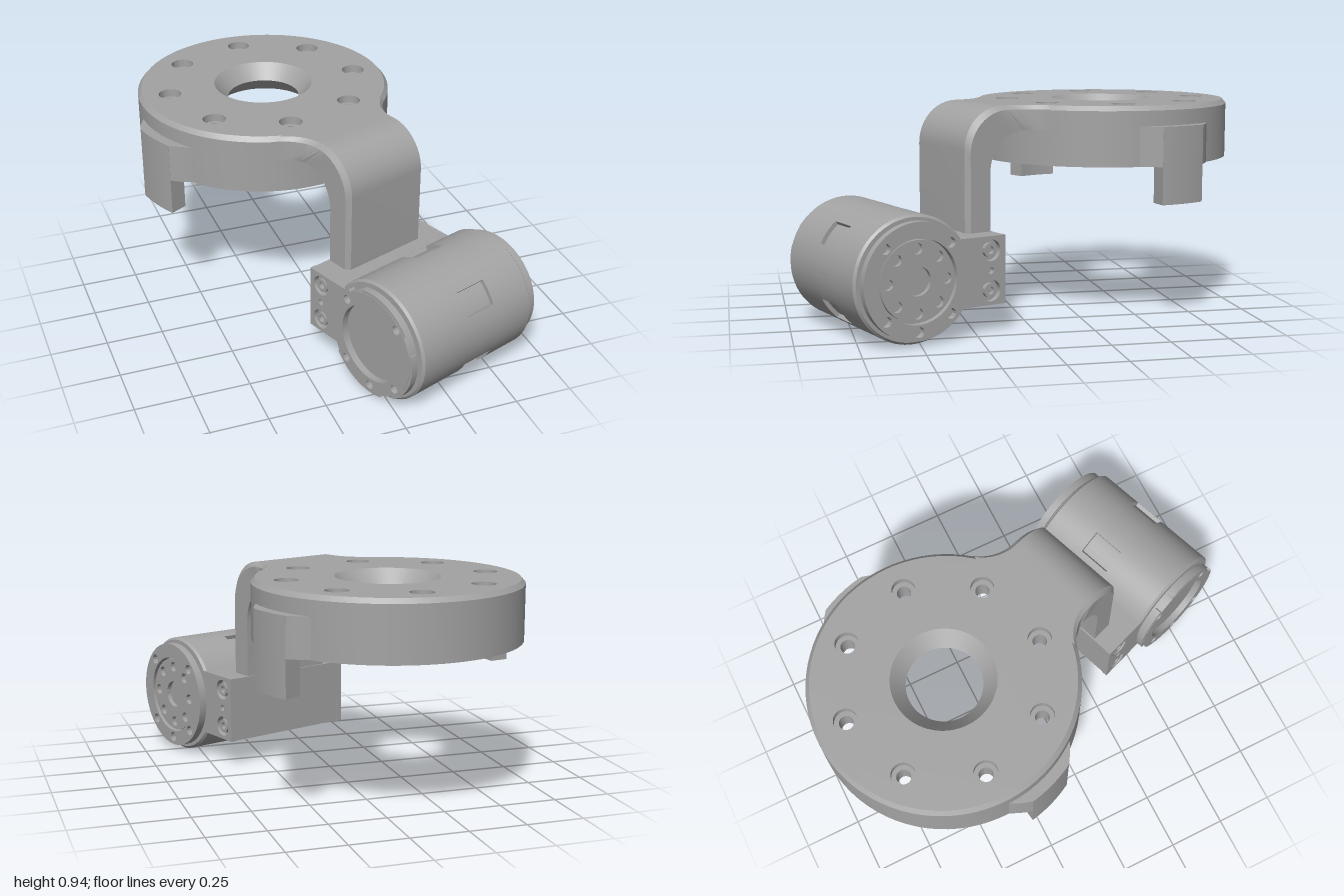
import * as THREE from 'three';
import { toCreasedNormals } from 'three/addons/utils/BufferGeometryUtils.js';

const metal = new THREE.MeshStandardMaterial({ color: 0xa3a3a3 });
metal.name = 'grey metal';
const RAD = Math.PI / 180;

function add(parent, name, geo) {
  const mesh = new THREE.Mesh(toCreasedNormals(geo, 0.45), metal);
  mesh.name = name;
  parent.add(mesh);
  return mesh;
}

// Shape helpers: a disc with round holes [x, y, r], and an annular sector
function punch(shape, holes) {
  for (const [x, y, r] of holes) shape.holes.push(new THREE.Path().absarc(x, y, r, 0, Math.PI * 2, true));
  return shape;
}
const disc = (r, holes = []) => punch(new THREE.Shape().absarc(0, 0, r, 0, Math.PI * 2, false), holes);
function sector(r0, r1, a0, a1) {
  const s = new THREE.Shape();
  s.absarc(0, 0, r1, a0 * RAD, a1 * RAD, false);
  s.absarc(0, 0, r0, a1 * RAD, a0 * RAD, true);
  return s;
}
const ringOfHoles = (n, R, r, start) => Array.from({ length: n }, (_, i) => {
  const a = (start + i * 360 / n) * RAD;
  return [R * Math.cos(a), R * Math.sin(a), r];
});

// Extrude upward from y0 to y1, or along x from x0 to x1 (shape x becomes -z)
const slab = (shape, d) => new THREE.ExtrudeGeometry(shape, { depth: d, bevelEnabled: false, curveSegments: 40 });
const extrudeY = (shape, y0, y1) => slab(shape, y1 - y0).rotateX(-Math.PI / 2).translate(0, y0, 0);
const extrudeX = (shape, x0, x1) => slab(shape, x1 - x0).rotateY(Math.PI / 2).translate(x0, 0, 0);
const lathe = (pts) => new THREE.LatheGeometry(pts.map(([x, y]) => new THREE.Vector2(x, y)), 80);
const cylX = (r, x0, x1) => new THREE.CylinderGeometry(r, r, x1 - x0, 64).rotateZ(-Math.PI / 2).translate((x0 + x1) / 2, 0, 0);

// Mounting cup: rim, perforated roof, hourglass hub and two hanging lugs
function mountingCup() {
  const g = new THREE.Group();
  g.name = 'mountingCup';
  add(g, 'rim', lathe([[0.52, 0.68], [0.565, 0.68], [0.565, 0.915], [0.548, 0.935], [0.515, 0.935], [0.515, 0.8], [0.52, 0.8], [0.52, 0.68]]));
  const centre = [0, 0, 0.225];
  add(g, 'roofTop', extrudeY(disc(0.517, [centre, ...ringOfHoles(8, 0.43, 0.05, 22.5)]), 0.9, 0.935));
  add(g, 'roofBottom', extrudeY(disc(0.517, [centre, ...ringOfHoles(8, 0.43, 0.03, 22.5)]), 0.8, 0.9));
  add(g, 'hub', lathe([[0.22, 0.8], [0.228, 0.8], [0.228, 0.935], [0.22, 0.935], [0.16, 0.868], [0.22, 0.8]]));
  for (const side of [0, 180]) {
    add(g, 'lug', extrudeY(sector(0.53, 0.61, -10, 10), 0.52, 0.85)).rotation.y = side * RAD;
    const f = new THREE.Shape();
    const at = (r, a) => [r * Math.cos(a * RAD), r * Math.sin(a * RAD)];
    f.moveTo(...at(0.55, -21));
    f.quadraticCurveTo(...at(0.585, -16), ...at(0.609, -10));
    f.lineTo(...at(0.609, 10));
    f.quadraticCurveTo(...at(0.585, 16), ...at(0.55, 21));
    add(g, 'lugFairing', extrudeY(f, 0.681, 0.85)).rotation.y = side * RAD;
  }
  return g;
}

// Bent arm: chamfered section swept from the cup outward, then down
function armGeometry() {
  const half = (z) => (z >= 0.643 ? 0.215 : 0.415 - Math.sqrt(0.04 - (z - 0.643) ** 2));
  const path = (zEnd, y, zc, yc, r, zFace) => {
    const pts = [];
    for (let i = 0; i <= 10; i++) pts.push([0.475 + (zEnd - 0.475) * i / 10, y]);
    for (let i = 1; i <= 12; i++) {
      const a = i / 12 * Math.PI / 2;
      pts.push([zc + r * Math.sin(a), yc + r * Math.cos(a)]);
    }
    pts.push([zFace, 0.14]);
    return pts;
  };
  const outer = path(0.65, 0.935, 0.65, 0.755, 0.18, 0.83);
  const inner = path(0.545, 0.83, 0.545, 0.66, 0.17, 0.715);
  const pos = [], idx = [], c = 0.018, n = 6;
  outer.forEach(([oz, oy], i) => {
    const [iz, iy] = inner[i];
    const sz = oz + (iz - oz) * 0.17, sy = oy + (iy - oy) * 0.17;
    const wo = half(oz), ws = half(sz), wi = half(iz);
    pos.push(-wi, iy, iz, -ws, sy, sz, c - wo, oy, oz, wo - c, oy, oz, ws, sy, sz, wi, iy, iz);
    if (i === 0) return;
    for (let k = 0; k < n; k++) {
      const k2 = (k + 1) % n, a = (i - 1) * n, b = i * n;
      idx.push(a + k, b + k, b + k2, a + k, b + k2, a + k2);
    }
  });
  const geo = new THREE.BufferGeometry();
  geo.setAttribute('position', new THREE.Float32BufferAttribute(pos, 3));
  geo.setIndex(idx);
  return geo;
}

// Motor: slotted cylindrical shell with a different flange at each end
function motor() {
  const g = new THREE.Group();
  g.name = 'motor';
  const R = 0.265, s0 = -0.047, s1 = 0.103;
  add(g, 'core', cylX(0.247, -0.31, 0.31));
  const shellEnd = (x, edge) => {
    const s = Math.sign(edge), w = Math.abs(edge - x);
    const m = add(g, 'shellEnd', lathe([[0.2, 0], [R, 0], [R, w - 0.01], [R - 0.01, w], [0.2, w]]).rotateZ(-Math.PI / 2 * s));
    m.position.x = x;
  };
  shellEnd(s1, 0.316);
  shellEnd(s0, -0.316);
  // Shell band between the four slots
  const slots = [64, 142, 218, 296];
  slots.forEach((a, i) => {
    const next = i < 3 ? slots[i + 1] : slots[0] + 360;
    add(g, 'shellBand', extrudeX(sector(0.24, R, a + 12, next - 12), s0, s1));
  });

  // Output flange on +x
  const screws = [45, 135, 225, 315, 270].map((a) => [0.206 * Math.cos(a * RAD), 0.206 * Math.sin(a * RAD), 0.022]);
  add(g, 'outputNeck', cylX(0.228, 0.31, 0.33));
  add(g, 'outputRing', extrudeX(disc(0.242, [[0, 0, 0.175], ...screws]), 0.326, 0.36));
  add(g, 'outputDisc', extrudeX(disc(0.168, [[0, 0, 0.06], ...ringOfHoles(8, 0.132, 0.023, 0)]), 0.325, 0.35));

  // Hollow rear flange on -x, with notched outer segments
  add(g, 'rearNeck', cylX(0.228, -0.33, -0.31));
  add(g, 'rearRing', extrudeX(disc(0.23, [[0, 0, 0.172], ...screws.map(([x, y, r]) => [x, y, r * 0.9])]), -0.36, -0.325));
  for (const a of [-15, 75, 165, 255]) add(g, 'rearSegment', extrudeX(sector(0.226, 0.243, a, a + 70), -0.358, -0.328));
  return g;
}

// Clamp block behind the motor, with drilled side plates
function clamp() {
  const g = new THREE.Group();
  g.name = 'clamp';
  add(g, 'clampBlock', new THREE.BoxGeometry(0.58, 0.288, 0.33).translate(0, 0.265, 0.872));
  for (const x0 of [0.288, -0.316]) {
    const plate = new THREE.Shape();
    plate.moveTo(-0.705, 0.12).lineTo(-0.705, 0.41).lineTo(-1.04, 0.41).lineTo(-1.04, 0.12).closePath();
    punch(plate, [[-0.774, 0.35, 0.045], [-0.774, 0.18, 0.045], [-0.774, 0.265, 0.014]]);
    add(g, 'sidePlate', extrudeX(plate, x0, x0 + 0.028));
    for (const y of [0.18, 0.35]) {
      const head = disc(0.03, [[0, 0, 0.016]]);
      add(g, 'screwHead', extrudeX(head, x0 + 0.004, x0 + 0.024)).position.set(0, y, 0.774);
    }
  }
  return g;
}

export function createModel() {
  const model = new THREE.Group();
  model.name = 'motorBracket';
  const body = new THREE.Group();
  body.name = 'assembly';
  body.position.set(-0.11, 0, -0.435);
  body.rotation.y = 20 * RAD;
  model.add(body);

  body.add(mountingCup());
  add(body, 'arm', armGeometry());
  const m = motor();
  m.position.set(0, 0.265, 1.135);
  body.add(m, clamp());
  return model;
}
